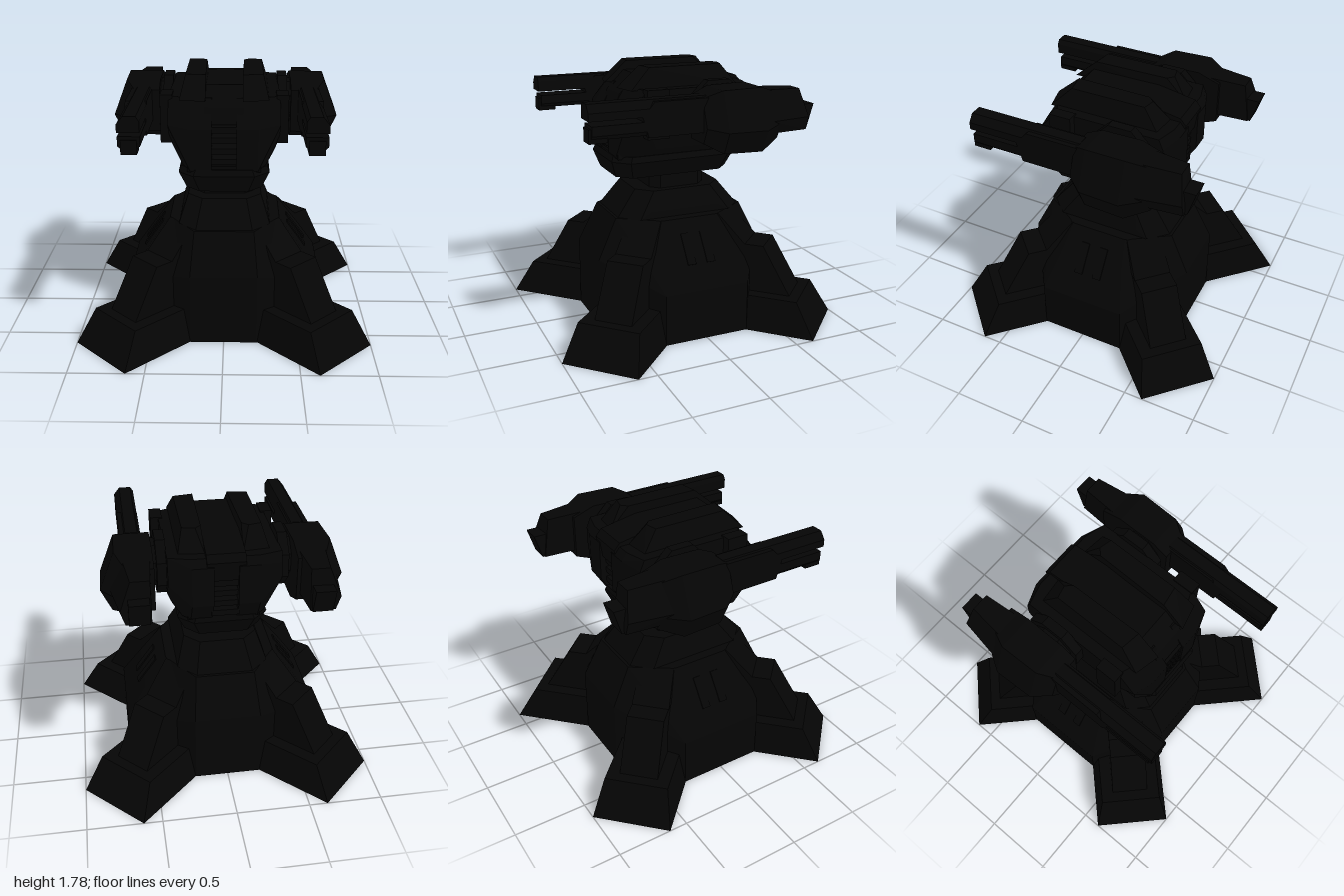
import * as THREE from 'three';
import { ConvexGeometry } from 'three/addons/geometries/ConvexGeometry.js';

const metal = new THREE.MeshStandardMaterial({ color: 0x050505, side: THREE.DoubleSide });
metal.name = 'black metal';

function add(parent, name, geometry) {
  const mesh = new THREE.Mesh(geometry, metal);
  mesh.name = name;
  parent.add(mesh);
  return mesh;
}

// Faceted solid around a few corner points
const hull = (points) => new ConvexGeometry(points.map((p) => new THREE.Vector3(...p)));

// Remove the faces lying on the ground, leaving a hollow shell
function openBottom(geometry) {
  const p = geometry.attributes.position;
  const kept = [];
  for (let i = 0; i < p.count; i += 3) {
    if (Math.max(p.getY(i), p.getY(i + 1), p.getY(i + 2)) > 0.001) kept.push(i, i + 1, i + 2);
  }
  geometry.setIndex(kept);
  return geometry;
}

// Side profile of [z, y] points spanning x0..x1
const slab = (profile, x0, x1) =>
  hull(profile.flatMap(([z, y]) => [[x0, y, z], [x1, y, z]]));

// Mirrored side profile of [z, y, halfWidth] points
const taper = (profile) =>
  hull(profile.flatMap(([z, y, w]) => [[-w, y, z], [w, y, z]]));

// Cross-section of [x, y] points spanning z0..z1
const bar = (section, z0, z1) =>
  hull(section.flatMap(([x, y]) => [[x, y, z0], [x, y, z1]]));

// Stacked bevelled rectangles: [y, halfWidth, zFront, zBack, bevel]
const stack = (layers) => hull(layers.flatMap(([y, w, f, b, c]) => [
  [w - c, y, f], [w, y, f - c], [w, y, b + c], [w - c, y, b],
  [c - w, y, f], [-w, y, f - c], [-w, y, b + c], [c - w, y, b],
]));

function box(x0, x1, y0, y1, z0, z1) {
  return new THREE.BoxGeometry(x1 - x0, y1 - y0, z1 - z0)
    .translate((x0 + x1) / 2, (y0 + y1) / 2, (z0 + z1) / 2);
}

function makeBase() {
  const base = new THREE.Group();
  base.name = 'base';

  // Stepped diagonal legs
  for (let i = 0; i < 4; i++) {
    const leg = new THREE.Group();
    leg.name = 'leg';
    leg.rotation.y = Math.PI / 4 + i * Math.PI / 2;
    add(leg, 'foot', openBottom(taper([[1.15, 0, 0.265], [1.015, 0.235, 0.215], [0.57, 0.235, 0.215], [0.57, 0, 0.265]])));
    add(leg, 'shin', taper([[0.945, 0.235, 0.13], [0.75, 0.57, 0.127], [0.48, 0.57, 0.127], [0.58, 0.235, 0.13]]));
    add(leg, 'knee', taper([[0.62, 0.57, 0.13], [0.46, 0.7, 0.12], [0.42, 0.765, 0.117], [0.38, 0.765, 0.117], [0.48, 0.57, 0.13]]));
    base.add(leg);
  }

  // Hollow armoured core with sloped front, back and sides
  add(base, 'core', openBottom(hull([-1, 1].flatMap((s) => [-1, 1].flatMap((t) => [
    [0.225 * s, 0, 0.605 * t], [0.225 * s, 0.49, 0.605 * t], [0.2 * s, 0.765, 0.47 * t],
    [0.67 * s, 0, 0.3 * t], [0.67 * s, 0.35, 0.3 * t],
    [0.53 * s, 0.56, 0.24 * t], [0.38 * s, 0.765, 0.2 * t],
  ])))));
  add(base, 'collar', stack([[0.765, 0.31, 0.45, -0.45, 0.12], [0.81, 0.3, 0.37, -0.37, 0.12], [0.94, 0.25, 0.31, -0.31, 0.1]]));
  add(base, 'neck', stack([[0.93, 0.2, 0.2, -0.2, 0.06], [1.06, 0.2, 0.2, -0.2, 0.06]]));

  // Thin panels on the sloped sides
  for (const s of [-1, 1]) for (const z of [-0.07, 0.07]) {
    add(base, 'sidePanel', hull([-0.03, 0.03].flatMap((d) => [
      [0.57 * s, 0.5, z + d], [0.579 * s, 0.505, z + d],
      [0.44 * s, 0.68, z + d], [0.449 * s, 0.685, z + d],
    ])));
  }
  return base;
}

function makeArm() {
  const arm = new THREE.Group();
  arm.name = 'gunArm';

  // Mounting disc and shaft
  for (const [name, r, w, x] of [['mountDisc', 0.205, 0.065, 0.393], ['shaft', 0.155, 0.1, 0.42]]) {
    const g = new THREE.CylinderGeometry(r, r, w, 8).rotateY(Math.PI / 8)
      .rotateZ(Math.PI / 2).translate(x, 1.51, -0.18).toNonIndexed();
    g.computeVertexNormals();
    add(arm, name, g);
  }

  // Faceted pod
  const hex = [[0.45, 1.68], [0.69, 1.68], [0.79, 1.42], [0.72, 1.27], [0.45, 1.27]];
  const layer = (z, k) => hex.map(([x, y]) => [0.45 + (x - 0.45) * k, 1.49 + (y - 1.49) * k, z]);
  add(arm, 'pod', hull([...layer(0.03, 0.7), ...layer(-0.08, 0.97), ...layer(-0.35, 1), ...layer(-0.5, 0.72)]));
  add(arm, 'rearHousing', hull([
    ...[[0.47, 1.37], [0.68, 1.37], [0.73, 1.46], [0.64, 1.65], [0.47, 1.65]].map(([x, y]) => [x, y, -0.42]),
    ...[[0.49, 1.37], [0.65, 1.37], [0.68, 1.46], [0.61, 1.64], [0.49, 1.64]].map(([x, y]) => [x, y, y > 1.5 ? -0.675 : -0.715]),
  ]));
  add(arm, 'tail', slab([[-0.5, 1.37], [-0.73, 1.37], [-0.78, 1.535], [-0.5, 1.535]], 0.5, 0.63));

  // Twin chamfered barrels with a housing between them
  add(arm, 'gunHousing', slab([[-0.05, 1.41], [-0.05, 1.63], [0.36, 1.63], [0.44, 1.54], [0.4, 1.41]], 0.5, 0.64));
  add(arm, 'upperBarrel', bar([[0.5, 1.54], [0.64, 1.54], [0.64, 1.59], [0.6, 1.64], [0.52, 1.64], [0.5, 1.61]], 0, 0.785));
  add(arm, 'lowerBarrel', bar([[0.5, 1.45], [0.53, 1.42], [0.61, 1.42], [0.64, 1.45], [0.64, 1.51], [0.5, 1.51]], 0, 0.765));
  add(arm, 'muzzle', box(0.52, 0.62, 1.4, 1.49, 0.66, 0.78));
  return arm;
}

function makeTurret() {
  const turret = new THREE.Group();
  turret.name = 'turret';
  add(turret, 'turntable', stack([
    [1.045, 0.25, 0.45, -0.37, 0.09], [1.16, 0.3, 0.49, -0.42, 0.1], [1.2, 0.285, 0.475, -0.41, 0.1],
  ]));
  add(turret, 'lowerBody', box(-0.24, 0.24, 1.18, 1.22, -0.4, 0.46));

  // Body halves either side of the open vent, with roof ridges and arms
  const half = new THREE.Group();
  half.name = 'turretHalf';
  add(half, 'bodySide', hull([
    ...[[0.47, 1.19], [0.47, 1.47], [0.36, 1.65], [-0.46, 1.65], [-0.5, 1.6], [-0.5, 1.33], [-0.45, 1.29], [-0.41, 1.19]]
      .flatMap(([z, y]) => [[0.08, y, z], [0.22, y, z]]),
    ...[[0.43, 1.49], [0.3, 1.65], [-0.42, 1.65], [-0.45, 1.58], [-0.45, 1.47], [0.28, 1.36], [-0.34, 1.36]]
      .map(([z, y]) => [0.365, y, z]),
    [0.33, 1.25, 0.22], [0.33, 1.25, -0.28], [0.27, 1.19, 0.36], [0.27, 1.19, -0.36],
  ]));
  add(half, 'roofRidge', hull([
    [0.12, 1.64, 0.42], [0.29, 1.64, 0.38], [0.12, 1.64, -0.4], [0.295, 1.64, -0.38],
    [0.12, 1.78, 0.26], [0.255, 1.78, 0.24], [0.13, 1.78, -0.25], [0.17, 1.78, -0.29], [0.255, 1.78, -0.27],
  ]));
  add(half, 'frontBracket', box(0.34, 0.42, 1.34, 1.66, 0.17, 0.32));
  half.add(makeArm());
  turret.add(half);

  // Mirrored half: reflect the points and reverse each triangle
  const other = half.clone(true);
  other.traverse((o) => {
    if (!o.isMesh) return;
    const g = o.geometry.index ? o.geometry.toNonIndexed() : o.geometry.clone();
    g.scale(-1, 1, 1);
    for (const a of Object.values(g.attributes)) {
      const n = a.itemSize;
      for (let i = 0; i < a.count; i += 3) for (let k = 0; k < n; k++) {
        const p = (i + 1) * n + k;
        [a.array[p], a.array[p + n]] = [a.array[p + n], a.array[p]];
      }
    }
    g.computeVertexNormals();
    o.geometry = g;
  });
  turret.add(other);

  // Central spine above the vent and the louvres in it
  add(turret, 'spine', slab([
    [0.44, 1.495], [0.4, 1.6], [0.28, 1.72], [-0.2, 1.72], [-0.36, 1.68], [-0.46, 1.675], [-0.5, 1.63], [-0.48, 1.495],
  ], -0.125, 0.125));
  for (const y of [1.25, 1.32, 1.393, 1.464]) for (const z of [-0.4, 0.4]) {
    add(turret, 'louvre', box(-0.09, 0.09, y - 0.02, y + 0.02, z - 0.06, z + 0.06));
  }
  return turret;
}

export function createModel() {
  const model = new THREE.Group();
  model.name = 'gunTurret';
  model.add(makeBase(), makeTurret());
  return model;
}
